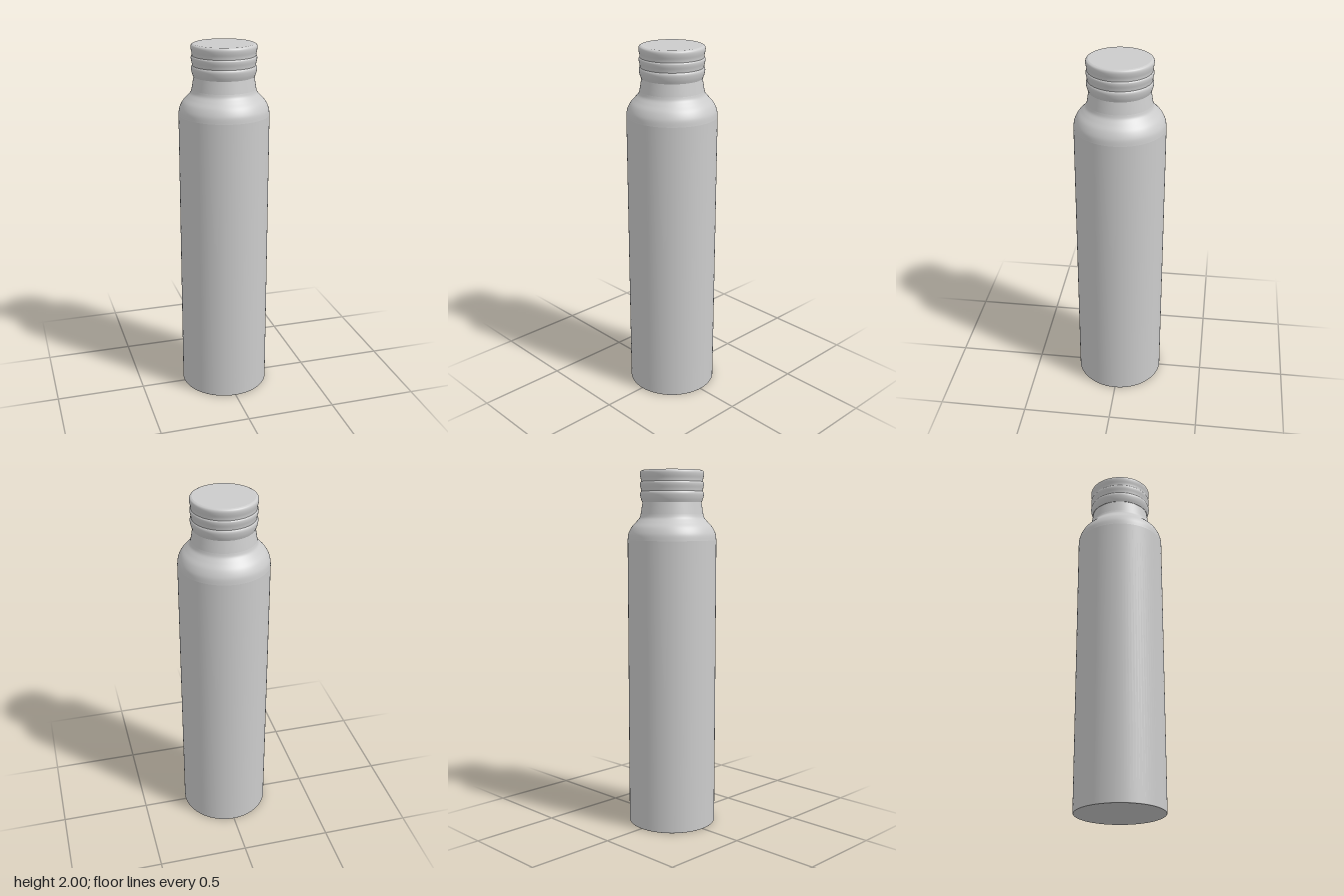
import * as THREE from 'three';

const SEGMENTS = 96;
const material = new THREE.MeshStandardMaterial({ color: 0xcccccc });

// Revolves a bottom-to-top profile of [radius, height] pairs, optionally smoothed
function lathe(name, profile, smooth = 0) {
  let points = profile.map(([r, y]) => new THREE.Vector2(r, y));
  if (smooth) points = new THREE.SplineCurve(points).getPoints(smooth);
  const mesh = new THREE.Mesh(new THREE.LatheGeometry(points, SEGMENTS), material);
  mesh.name = name;
  return mesh;
}

export function createModel() {
  const bottle = new THREE.Group();
  bottle.name = 'bottle';

  // Straight body with a flat base
  bottle.add(lathe('base', [[0, 0], [0.244, 0]]));
  bottle.add(lathe('body', [[0.244, 0], [0.247, 0.004], [0.247, 1.62]]));

  // Rounded shoulder flowing into the tapered neck
  bottle.add(lathe('shoulder', [
    [0.247, 1.62], [0.242, 1.655], [0.225, 1.69], [0.2, 1.718], [0.181, 1.74], [0.174, 1.76],
  ], 32));
  bottle.add(lathe('neck', [[0.174, 1.76], [0.163, 1.827]]));

  // Screw cap: underside, three bulging bands and a flat top
  const cap = new THREE.Group();
  cap.name = 'cap';
  cap.add(lathe('capUnderside', [[0.15, 1.827], [0.165, 1.827]]));
  cap.add(lathe('lowerBand', [[0.165, 1.827], [0.172, 1.846], [0.176, 1.866], [0.175, 1.878], [0.17, 1.886]], 16));
  cap.add(lathe('middleBand', [[0.17, 1.886], [0.172, 1.9], [0.176, 1.918], [0.176, 1.931], [0.171, 1.938]], 16));
  cap.add(lathe('upperBand', [[0.171, 1.938], [0.172, 1.952], [0.176, 1.97], [0.177, 1.985], [0.173, 1.995], [0.163, 2]], 20));
  cap.add(lathe('capTop', [[0.163, 2], [0, 2]]));
  bottle.add(cap);

  return bottle;
}
